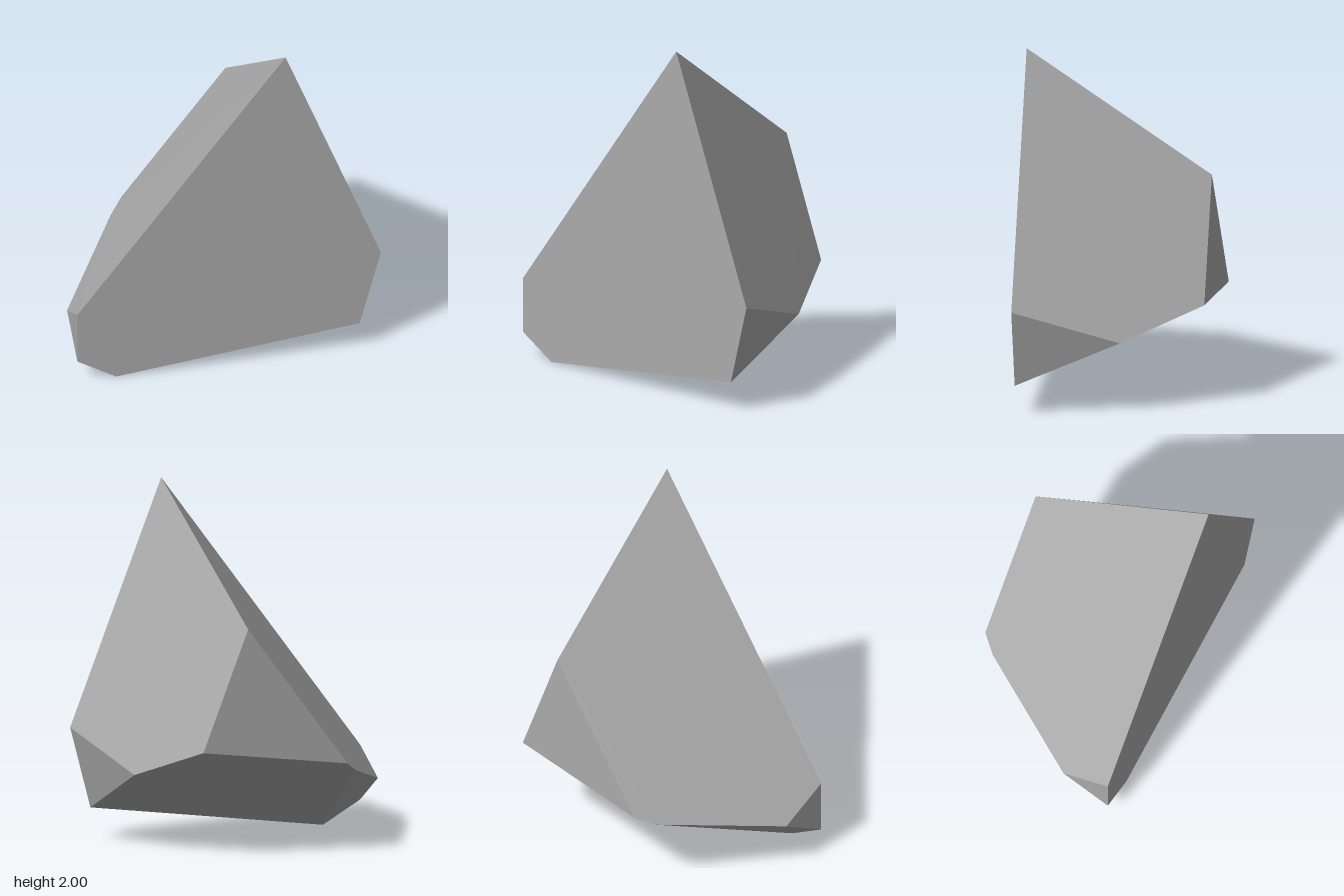
import * as THREE from 'three';
import { ConvexGeometry } from 'three/addons/geometries/ConvexGeometry.js';

const FRONT = 0.51, BACK = -0.51;

export function createModel() {
  const group = new THREE.Group();
  group.name = 'rockShard';

  const stoneGrey = new THREE.MeshStandardMaterial({ color: 0xaaaaaa, flatShading: true });
  stoneGrey.name = 'stoneGrey';

  // Corners of the shard, listed by depth
  const corners = [
    // flat front face
    [0.32, 2, FRONT], [0.86, 0.625, FRONT], [0.74, 0.17, FRONT],
    [-0.64, 0, FRONT], [-0.86, 0.13, FRONT], [-0.86, 0.44, FRONT],
    // chipped side corners
    [-0.86, 0.29, 0.23], [0.70, 0.43, -0.075], [-0.48, 0.445, -0.42],
    // flat triangular back face
    [0.19, 1.28, BACK], [0.455, 0.6, BACK], [-0.40, 0.498, BACK],
  ].map((p) => new THREE.Vector3(...p));

  const shard = new THREE.Mesh(new ConvexGeometry(corners), stoneGrey);
  shard.name = 'shard';
  group.add(shard);
  return group;
}
